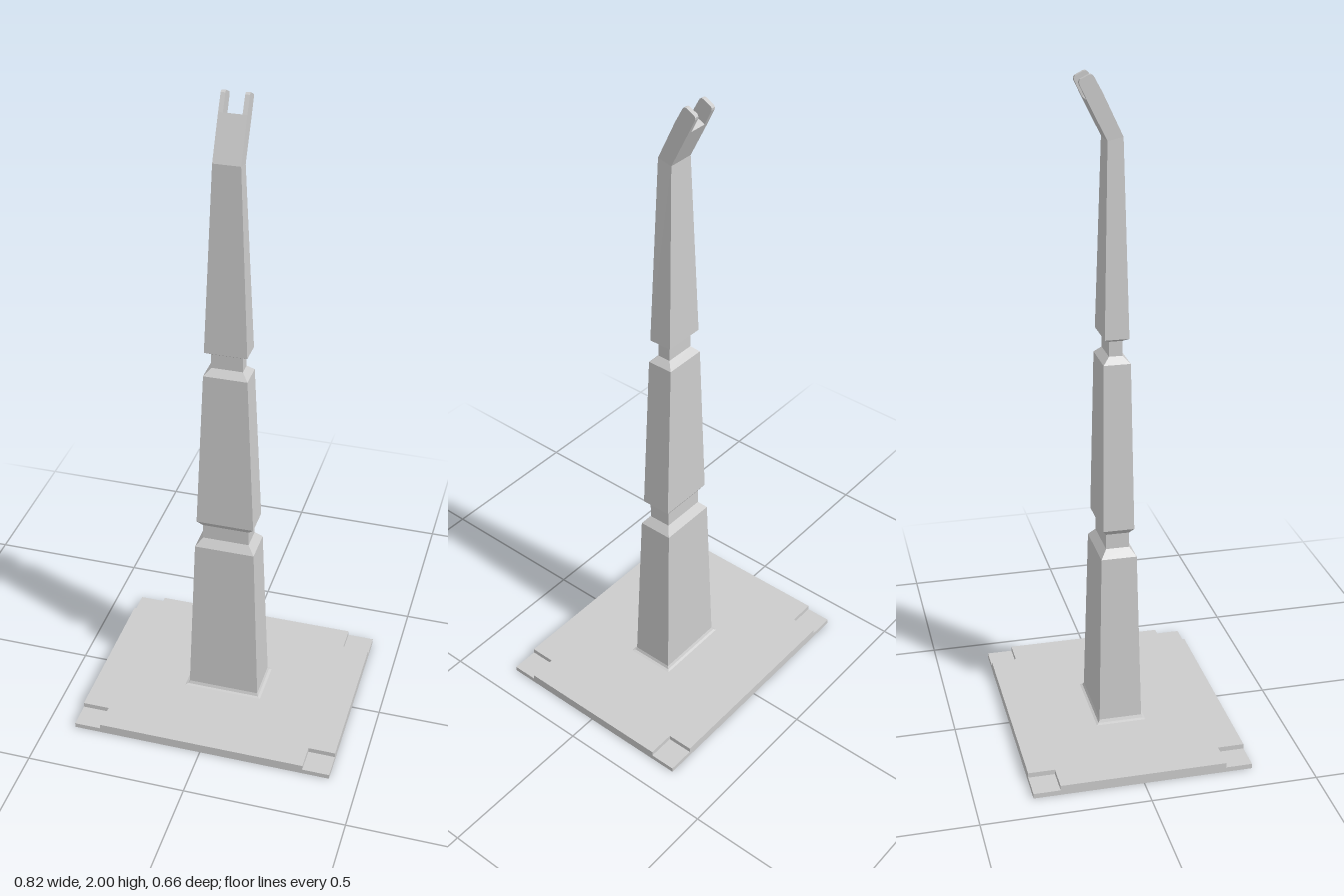
import * as THREE from 'three';

const material = new THREE.MeshStandardMaterial({ color: 0xcccccc, flatShading: true, side: THREE.DoubleSide });

function addMesh(parent, name, geometry) {
  const mesh = new THREE.Mesh(geometry, material);
  mesh.name = name;
  parent.add(mesh);
  return mesh;
}

function polygon(points, Type = THREE.Shape) {
  return new Type(points.map(([x, y]) => new THREE.Vector2(x, y)));
}

// Joins rings of [x, y, z] corners from bottom to top, counter-clockwise seen from above
function skin(rings) {
  const positions = [];
  for (let r = 0; r < rings.length - 1; r++) {
    const low = rings[r], high = rings[r + 1];
    for (let i = 0; i < low.length; i++) {
      const j = (i + 1) % low.length;
      positions.push(...low[i], ...low[j], ...high[j], ...low[i], ...high[j], ...high[i]);
    }
  }
  const geometry = new THREE.BufferGeometry();
  geometry.setAttribute('position', new THREE.Float32BufferAttribute(positions, 3));
  geometry.computeVertexNormals();
  return geometry;
}

// Rectangular section, tilted when its front and back heights differ
const section = (hx, zf, yf, zb, yb) => [[hx, yf, zf], [hx, yb, zb], [-hx, yb, zb], [-hx, yf, zf]];
const level = (hx, hz, y) => section(hx, hz, y, -hz, y);

export function createModel() {
  const model = new THREE.Group();
  model.name = 'post';

  // Base plate: a thin shell open below, with stepped-down corners and an opening under the post
  const X = 0.411, Z = 0.33, nx = 0.327, nz = 0.25, top = 0.03, step = 0.015;
  const cross = [
    [nx, -Z], [nx, -nz], [X, -nz], [X, nz], [nx, nz], [nx, Z],
    [-nx, Z], [-nx, nz], [-X, nz], [-X, -nz], [-nx, -nz], [-nx, -Z],
  ];
  const outline = polygon(cross);
  outline.holes.push(polygon([[-0.125, -0.077], [-0.125, 0.077], [0.125, 0.077], [0.125, -0.077]], THREE.Path));
  const sheet = new THREE.ShapeGeometry(outline).rotateX(-Math.PI / 2);
  addMesh(model, 'baseTop', sheet).position.y = top;
  addMesh(model, 'baseUpperWall', skin([step, top].map((y) => cross.map(([x, v]) => [x, y, -v]))));
  addMesh(model, 'baseLowerWall', skin([level(X, Z, 0), level(X, Z, step)]));

  // Lowered corner sheets
  const corner = new THREE.PlaneGeometry(X - nx, Z - nz).rotateX(-Math.PI / 2);
  for (const sx of [-1, 1]) {
    for (const sz of [-1, 1]) {
      addMesh(model, 'baseCorner', corner).position.set(sx * (X + nx) / 2, step, sz * (Z + nz) / 2);
    }
  }

  // Tapered hollow post: three tiers divided by necks, with the head bent backwards
  addMesh(model, 'post', skin([
    level(0.125, 0.077, 0.03),
    level(0.117, 0.07, 0.033),
    level(0.113, 0.066, 0.042),
    level(0.093, 0.054, 0.578),
    level(0.072, 0.035, 0.603),
    level(0.072, 0.035, 0.65),
    level(0.089, 0.047, 0.668),
    level(0.066, 0.04, 1.18),
    level(0.047, 0.02, 1.2),
    level(0.047, 0.02, 1.245),
    level(0.064, 0.036, 1.255),
    section(0.04, 0.023, 1.828, -0.022, 1.818),
    section(0.04, -0.035, 1.95, -0.078, 1.93),
  ]));

  // Slot floor between the prongs
  const floor = section(0.04, -0.035, 1.95, -0.078, 1.93);
  addMesh(model, 'slotFloor', skin([[floor[0], floor[1]], [floor[3], floor[2]]]));

  // Fork prongs with rounded tips, drawn in side profile and extruded across x
  const profile = polygon([
    [-0.035, 1.95], [-0.078, 1.93], [-0.099, 1.974], [-0.1, 1.981],
    [-0.096, 1.987], [-0.072, 1.999], [-0.066, 2], [-0.06, 1.996],
  ]);
  const thickness = 0.013;
  const prong = new THREE.ExtrudeGeometry(profile, { depth: thickness, bevelEnabled: false });
  prong.rotateY(-Math.PI / 2);
  addMesh(model, 'leftProng', prong).position.x = 0.04;
  addMesh(model, 'rightProng', prong).position.x = -0.04 + thickness;

  return model;
}
